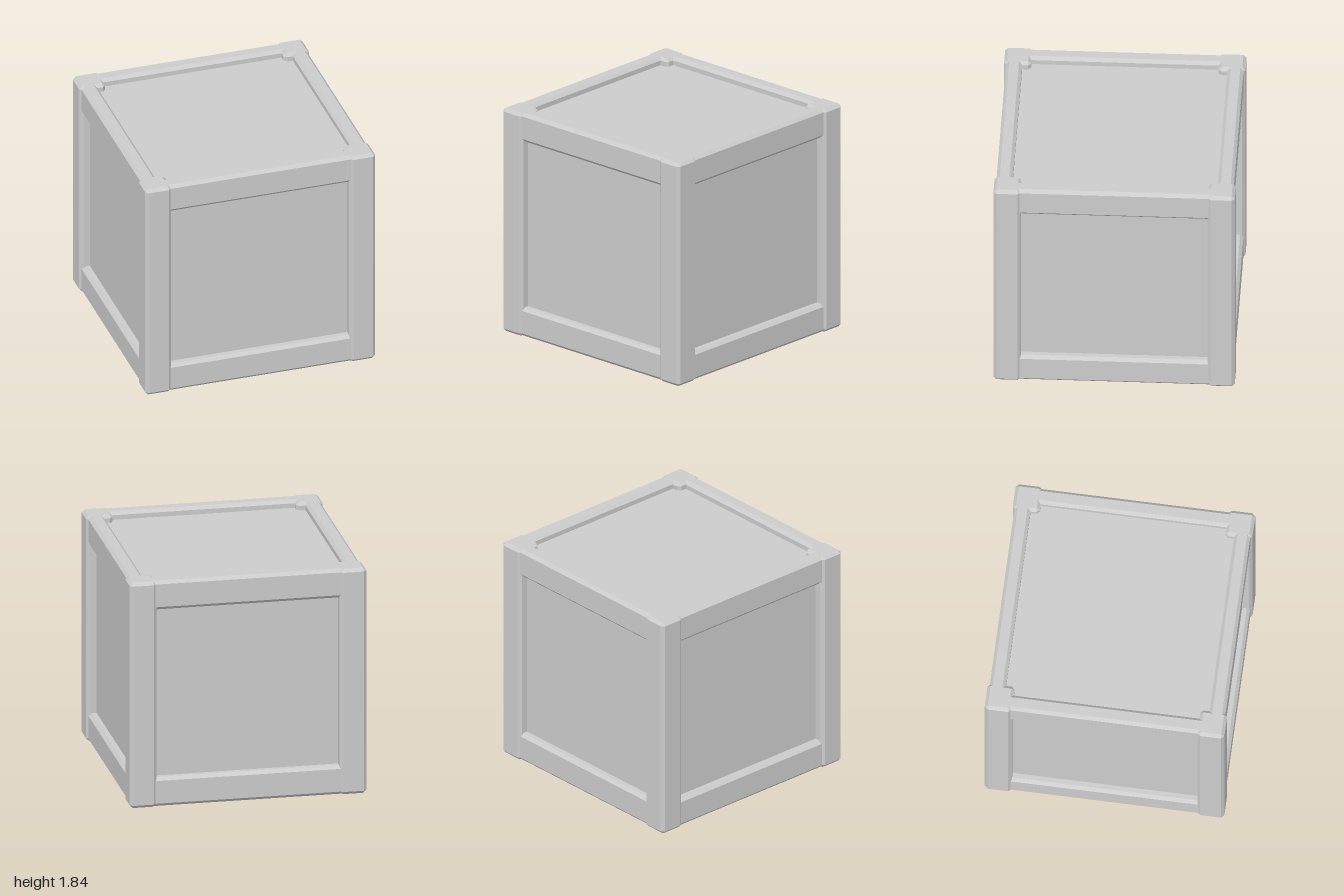
import * as THREE from 'three';
import { ConvexGeometry } from 'three/addons/geometries/ConvexGeometry.js';

const HALF = 0.9175;   // half the height, and rail face distance
const POST = 0.933;    // post face distance
const BEVEL = 0.025;

// Box with every edge cut at 45 degrees
function chamferBox(w, h, d, c = BEVEL) {
  const a = w / 2, b = h / 2, e = d / 2, pts = [];
  for (const x of [-1, 1]) for (const y of [-1, 1]) for (const z of [-1, 1]) {
    pts.push(new THREE.Vector3(x * a, y * (b - c), z * (e - c)));
    pts.push(new THREE.Vector3(x * (a - c), y * b, z * (e - c)));
    pts.push(new THREE.Vector3(x * (a - c), y * (b - c), z * e));
  }
  return new ConvexGeometry(pts);
}

export function createModel() {
  const model = new THREE.Group();
  model.name = 'crate';
  const grey = new THREE.MeshStandardMaterial({ color: 0xcccccc });
  grey.name = 'lightGrey';

  const crate = new THREE.Group();
  crate.name = 'crateBody';
  crate.position.y = HALF;
  crate.rotation.y = THREE.MathUtils.degToRad(-4.4);
  model.add(crate);

  const add = (name, geometry, x, y, z, turn = 0) => {
    const mesh = new THREE.Mesh(geometry, grey);
    mesh.name = name;
    mesh.position.set(x, y, z);
    mesh.rotation.y = turn;
    crate.add(mesh);
  };

  // Recessed panels on all six sides
  add('panels', new THREE.BoxGeometry(1.71, 1.71, 1.71), 0, 0, 0);

  // Corner posts, standing slightly proud of the rails
  const postWidth = 0.211, postAt = POST - postWidth / 2;
  const post = chamferBox(postWidth, 2 * HALF, postWidth);
  for (const x of [-1, 1]) for (const z of [-1, 1]) add('cornerPost', post, x * postAt, 0, z * postAt);

  // Top and bottom rails on each of the four sides
  const railHeight = 0.235, railDepth = 0.1255;
  const rail = chamferBox(1.72, railHeight, railDepth);
  const railAt = HALF - railDepth / 2, railY = HALF - railHeight / 2;
  for (let i = 0; i < 4; i++) {
    const turn = i * Math.PI / 2;
    for (const y of [-1, 1]) {
      add(y > 0 ? 'topRail' : 'bottomRail', rail, Math.sin(turn) * railAt, y * railY, Math.cos(turn) * railAt, turn);
    }
  }
  return model;
}
